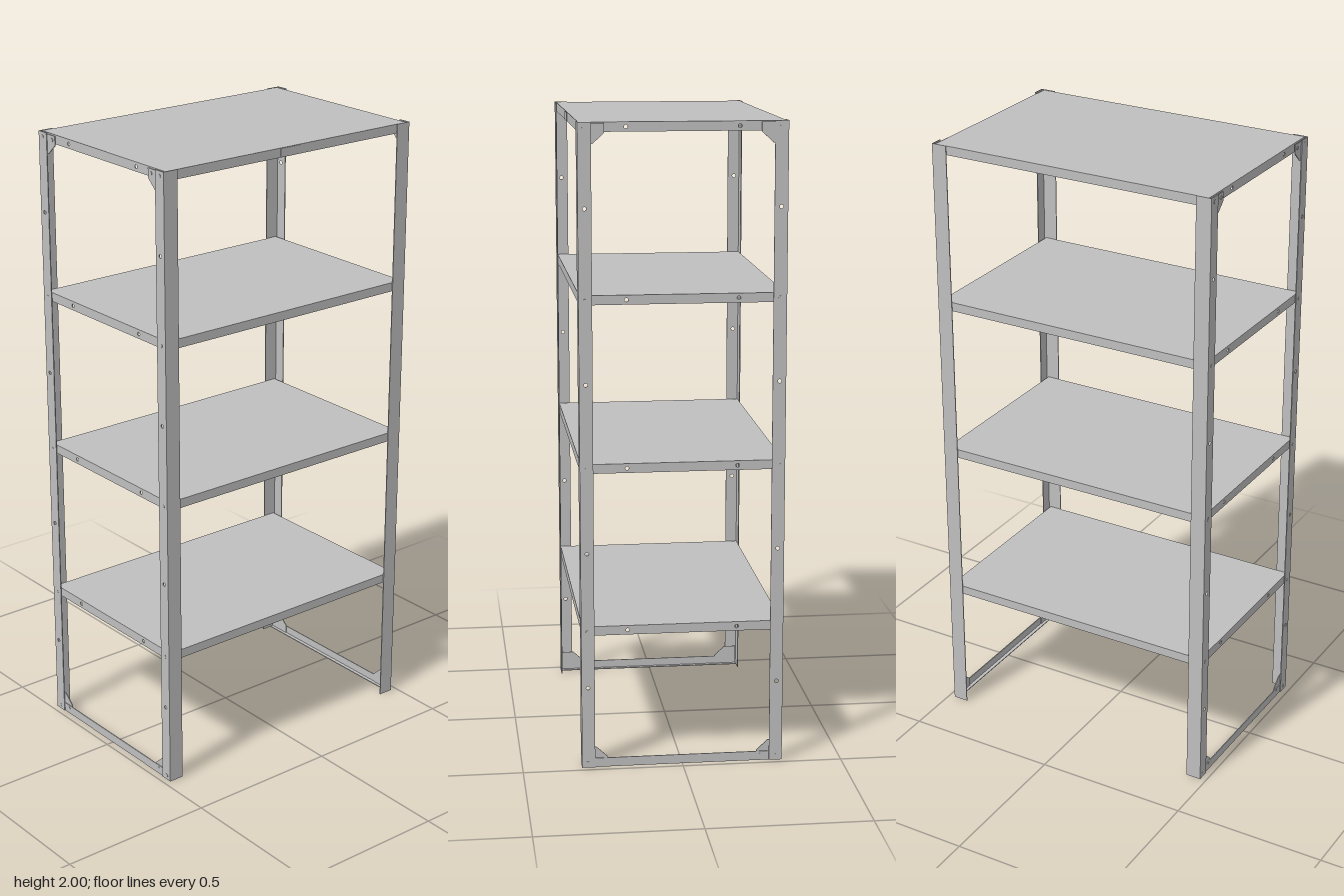
import * as THREE from 'three';

const steel = new THREE.MeshStandardMaterial({ color: 0xbfbfbf });
steel.name = 'grey steel';

const H = 2, X = 0.48, Z = 0.315;
const T = 0.003; // sheet thickness
const SHELF_TOPS = [0.455, 0.968, 1.485, 1.999];
const RIM = 0.029;

export function createModel() {
  const model = new THREE.Group();
  model.name = 'shelvingUnit';

  const add = (parent, name, geometry) => {
    const mesh = new THREE.Mesh(geometry, steel);
    mesh.name = name;
    parent.add(mesh);
    return mesh;
  };

  const box = (parent, name, w, h, d, x, y, z) =>
    add(parent, name, new THREE.BoxGeometry(w, h, d)).position.set(x, y, z);

  // Upright sheet facing sideways; points are [z, y], outer is its outermost |x|
  const sidePlate = (parent, name, points, holes, side, outer) => {
    const shape = new THREE.Shape(points.map(([z, y]) => new THREE.Vector2(z, y)));
    for (const [z, y] of holes) {
      shape.holes.push(new THREE.Path().absarc(z, y, 0.006, 0, Math.PI * 2, true));
    }
    const geo = new THREE.ExtrudeGeometry(shape, { depth: T, bevelEnabled: false, curveSegments: 5 });
    geo.rotateY(-Math.PI / 2);
    geo.translate(side > 0 ? outer : -outer + T, 0, 0);
    add(parent, name, geo);
  };

  const bolt = (parent, side, x, y, z) => {
    const geo = new THREE.CylinderGeometry(0.006, 0.006, 0.005, 10);
    geo.rotateZ(Math.PI / 2);
    add(parent, 'bolt', geo).position.set(side * x, y, z);
  };

  // Shelves: pans with a folded rim, open underneath
  SHELF_TOPS.forEach((top, i) => {
    const shelf = new THREE.Group();
    shelf.name = 'shelf' + (i + 1);
    const sx = 0.47, sz = 0.311, mid = top - RIM / 2;
    box(shelf, 'shelfTop', sx * 2, T, sz * 2, 0, top - T / 2, 0);
    for (const s of [-1, 1]) {
      box(shelf, 'longRim', sx * 2, RIM, T, 0, mid, s * (sz - T / 2));
      sidePlate(shelf, 'shortRim',
        [[-sz, top - RIM], [sz, top - RIM], [sz, top - T], [-sz, top - T]],
        [[-0.17, mid], [0.17, mid]], s, sx);
    }
    model.add(shelf);
  });

  // Small plate on the front of the top shelf
  box(model, 'frontPlate', 0.08, RIM - 0.002, 0.002, 0, 1.984, 0.312);

  for (const s of [-1, 1]) {
    // Angle posts, corner gussets and bolts
    for (const f of [-1, 1]) {
      const post = new THREE.Group();
      post.name = (f > 0 ? 'front' : 'back') + (s > 0 ? 'Left' : 'Right') + 'Post';
      box(post, 'wideFlange', 0.05, H, T, s * (X - 0.025), H / 2, f * (Z - T / 2));
      const inner = f * 0.274, outer = f * (Z - T);
      sidePlate(post, 'sideFlange',
        [[inner, 0], [outer, 0], [outer, H], [inner, H]],
        [0.26, 0.69, 1.215, 1.745].map((y) => [f * 0.295, y]), s, X);

      const corner = [[0.31, 0.004], [0.235, 0.004], [0.235, 0.033], [0.27, 0.065], [0.31, 0.065]];
      sidePlate(post, 'bottomGusset', corner.map(([z, y]) => [f * z, y]), [], s, 0.474);
      sidePlate(post, 'topGusset', corner.map(([z, y]) => [f * z, H - y]), [], s, 0.476);

      for (const top of SHELF_TOPS) bolt(post, s, 0.4785, top - RIM / 2, f * 0.295);
      bolt(post, s, 0.4785, 0.014, f * 0.297);
      bolt(post, s, 0.4755, 0.018, f * 0.25);
      bolt(post, s, 0.4755, H - 0.018, f * 0.25);
      model.add(post);
    }

    // Angle rail along the floor between front and back posts
    const rail = new THREE.Group();
    rail.name = (s > 0 ? 'left' : 'right') + 'BottomRail';
    box(rail, 'railWeb', T, 0.029, 0.62, s * 0.4755, 0.0145, 0);
    box(rail, 'railFoot', 0.012, T, 0.62, s * 0.468, T / 2, 0);
    model.add(rail);
  }
  return model;
}
